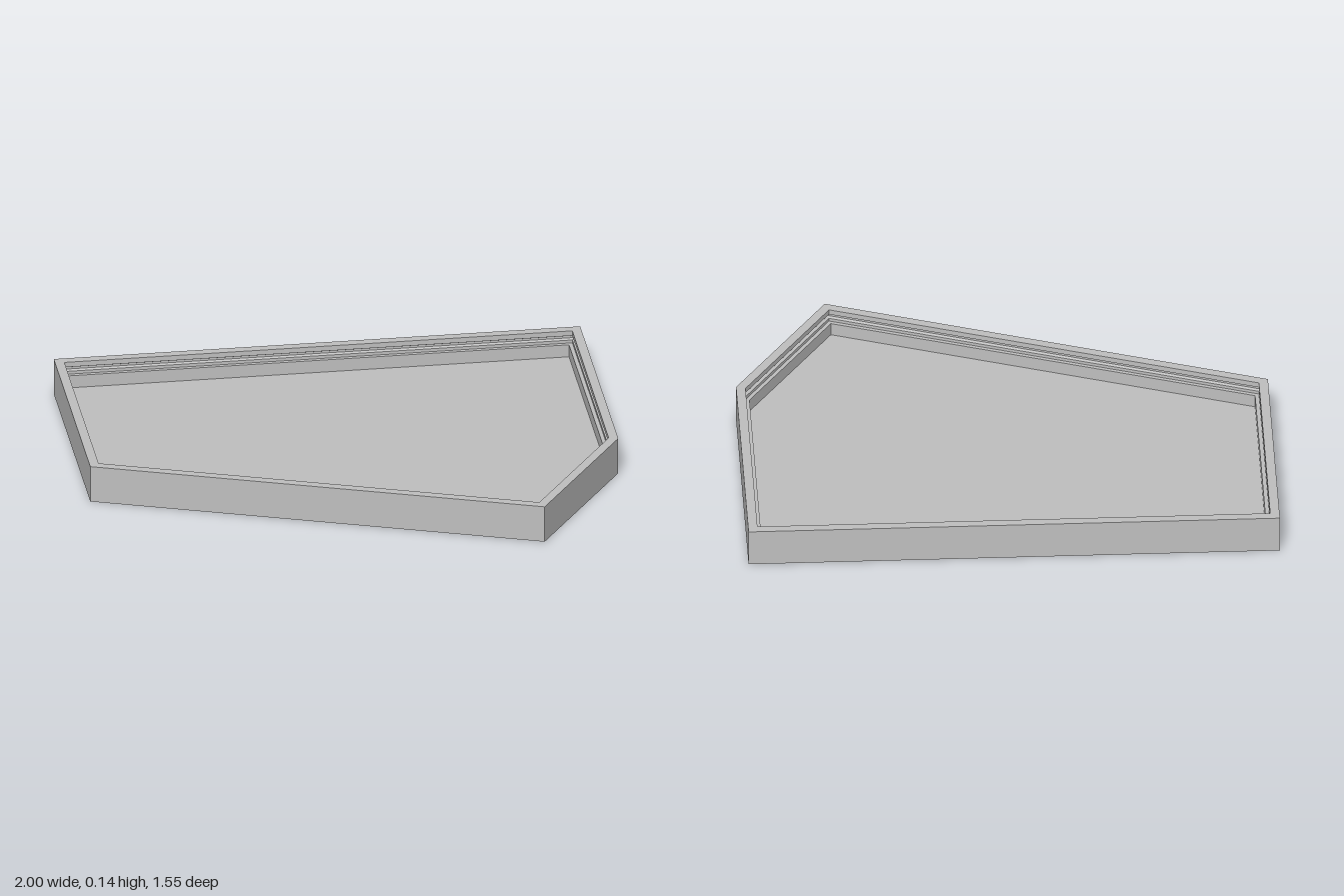
import * as THREE from 'three';

// Five-sided plan of the tray as [x, z], back-right corner first
const PLAN = [[-1, -0.775], [1, -0.775], [1, 0.22], [0.64, 0.775], [-1, 0.18]]
  .map(([x, z]) => new THREE.Vector2(x, z));
const COUNT = PLAN.length;

// Plan moved inward by a constant distance, with mitred corners, at height y
function ring(inset, y) {
  const normals = PLAN.map((p, i) => {
    const d = PLAN[(i + 1) % COUNT].clone().sub(p).normalize();
    return new THREE.Vector2(-d.y, d.x);
  });
  return PLAN.map((p, i) => {
    const a = normals[(i + COUNT - 1) % COUNT], b = normals[i];
    const m = a.clone().add(b).multiplyScalar(inset / (1 + a.dot(b)));
    return new THREE.Vector3(p.x + m.x, y, p.y + m.y);
  });
}

function toGeometry(points) {
  const geometry = new THREE.BufferGeometry().setFromPoints(points);
  geometry.computeVertexNormals();
  return geometry;
}

// Flat bands that follow a wall profile of [inset, y] around the plan
function wallGeometry(profile) {
  const rings = profile.map(([inset, y]) => ring(inset, y));
  const points = [];
  for (let k = 0; k < rings.length - 1; k++) {
    const a = rings[k], b = rings[k + 1];
    for (let i = 0; i < COUNT; i++) {
      const j = (i + 1) % COUNT;
      points.push(a[i], b[i], b[j], a[i], b[j], a[j]);
    }
  }
  return toGeometry(points);
}

// Flat panel filling the plan
function panelGeometry(inset, y, up) {
  const r = ring(inset, y), points = [];
  for (let i = 1; i < COUNT - 1; i++) {
    points.push(r[0], up ? r[i + 1] : r[i], up ? r[i] : r[i + 1]);
  }
  return toGeometry(points);
}

export function createModel() {
  const group = new THREE.Group();
  group.name = 'tray';
  const grey = new THREE.MeshStandardMaterial({ color: 0xc0c0c0 });
  grey.name = 'grey';
  const add = (name, geometry) => {
    const mesh = new THREE.Mesh(geometry, grey);
    mesh.name = name;
    group.add(mesh);
  };

  const height = 0.145, floorY = 0.045, lip = 0.035, wall = 0.05;

  add('outerWall', wallGeometry([[0, 0], [0, height]]));
  add('rim', wallGeometry([[0, height], [lip, height]]));
  // Lip with a shallow groove, stepping down to the ledge
  add('groovedLip', wallGeometry([
    [lip, height], [lip, 0.125], [0.025, 0.12], [0.025, 0.112], [lip, 0.107], [lip, 0.095],
  ]));
  add('ledge', wallGeometry([[lip, 0.095], [wall, 0.095]]));
  add('innerWall', wallGeometry([[wall, 0.095], [wall, floorY]]));
  add('floor', panelGeometry(wall, floorY, true));
  add('underside', panelGeometry(0, 0, false));
  return group;
}
